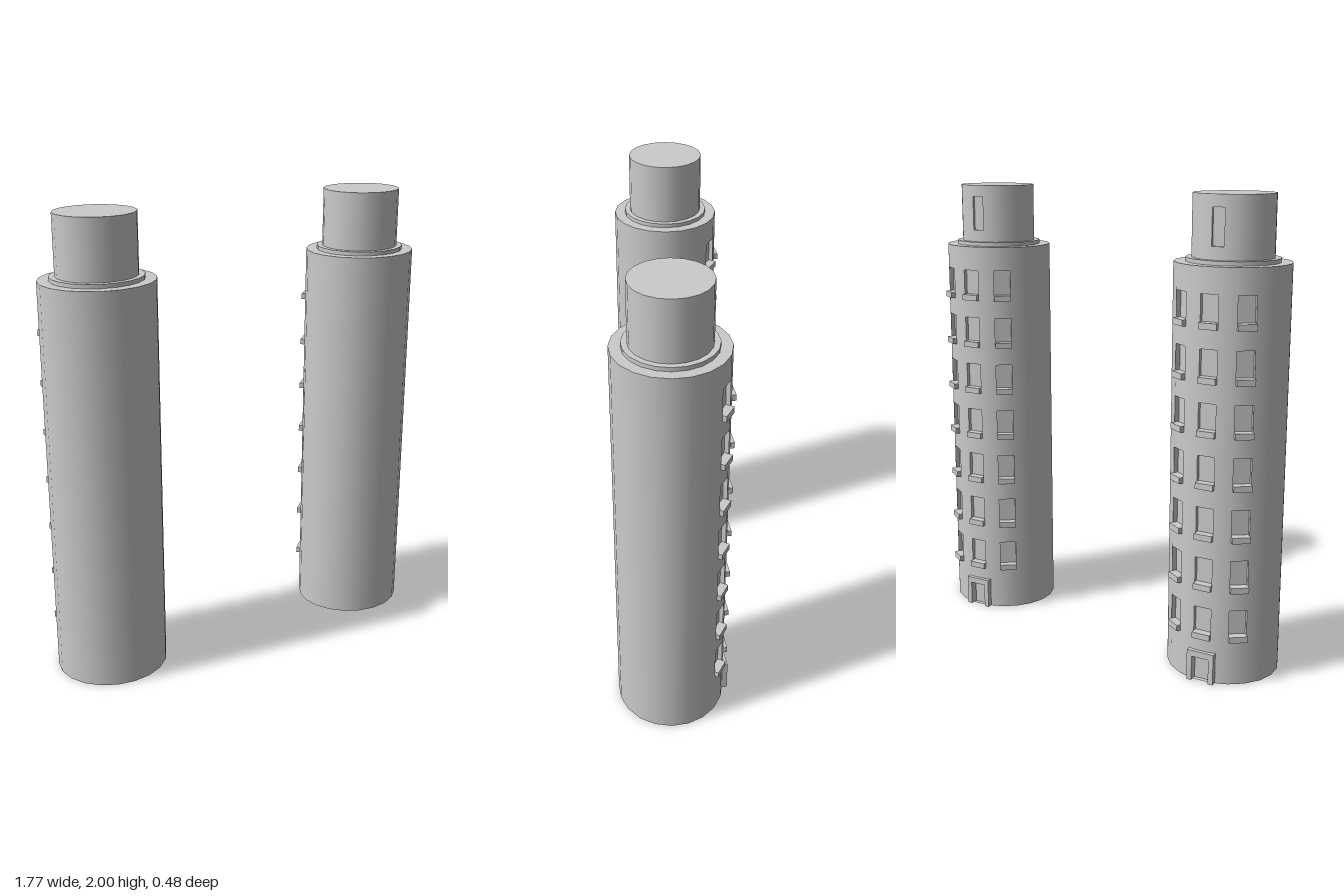
import * as THREE from 'three';

const SIDES = 20, STEP = (Math.PI * 2) / SIDES;
const material = new THREE.MeshStandardMaterial({ color: 0xcccccc });
const apothem = (r) => r * Math.cos(STEP / 2);

// Round wall of flat facets with smooth normals; openings: { facet: [[bottom, top], ...] }
function wallGeometry(r, y0, y1, openings, depth) {
  const pos = [], nor = [];
  const point = (k, y) => new THREE.Vector3(r * Math.sin(k * STEP), y, -r * Math.cos(k * STEP));
  const quad = (a, b, c, d, smooth) => {
    const flat = b.clone().sub(a).cross(d.clone().sub(a)).normalize();
    for (const p of [a, b, c, a, c, d]) {
      pos.push(p.x, p.y, p.z);
      const n = smooth ? new THREE.Vector3(p.x, 0, p.z).normalize() : flat;
      nor.push(n.x, n.y, n.z);
    }
  };
  for (let k = -SIDES / 2; k < SIDES / 2; k++) {
    const mid = (k + 0.5) * STEP;
    const inward = new THREE.Vector3(-Math.sin(mid), 0, Math.cos(mid)).multiplyScalar(depth);
    const L = (y) => point(k + 1, y), R = (y) => point(k, y);
    const Li = (y) => L(y).add(inward), Ri = (y) => R(y).add(inward);
    let y = y0;
    for (const [b, t] of openings[k] || []) {
      if (b > y) quad(L(y), R(y), R(b), L(b), true);
      quad(L(b), R(b), Ri(b), Li(b));       // floor of the recess
      quad(Li(t), Ri(t), R(t), L(t));       // ceiling
      quad(L(b), Li(b), Li(t), L(t));       // sides
      quad(Ri(b), R(b), R(t), Ri(t));
      quad(Li(b), Ri(b), Ri(t), Li(t));     // pane
      y = t;
    }
    quad(L(y), R(y), R(y1), L(y1), true);
  }
  const g = new THREE.BufferGeometry();
  g.setAttribute('position', new THREE.Float32BufferAttribute(pos, 3));
  g.setAttribute('normal', new THREE.Float32BufferAttribute(nor, 3));
  return g;
}

function add(parent, name, geometry) {
  const mesh = new THREE.Mesh(geometry, material);
  mesh.name = name;
  parent.add(mesh);
  return mesh;
}

function addCap(parent, name, r, y, up) {
  const cap = add(parent, name, new THREE.CircleGeometry(r, SIDES));
  cap.rotation.x = up ? -Math.PI / 2 : Math.PI / 2;
  cap.position.y = y;
}

// Box set against a facet of the body, offset sideways along it
function addBlock(parent, name, facet, w, h, d, y, side = 0) {
  const holder = new THREE.Group();
  holder.rotation.y = Math.PI - (facet + 0.5) * STEP;
  parent.add(holder);
  add(holder, name, new THREE.BoxGeometry(w, h, d))
    .position.set(side, y, apothem(0.243) + 0.018 - d / 2);
}

function createTower() {
  const tower = new THREE.Group();
  const columns = [-3, -1, 1], rows = [...Array(7).keys()].map((i) => 0.218 + i * 0.216);
  const openings = {};
  for (const k of columns) openings[k] = rows.map((y) => [y, y + 0.11]);
  openings[-1].unshift([0, 0.108]);

  // Body with window and door recesses
  add(tower, 'body', wallGeometry(0.243, 0, 1.73, openings, 0.02));
  addCap(tower, 'base', 0.243, 0, false);
  addCap(tower, 'roof', 0.243, 1.73, true);

  // Window sills
  for (const k of columns) for (const y of rows) addBlock(tower, 'windowSill', k, 0.078, 0.026, 0.04, y - 0.013);

  // Door frame
  for (const s of [-1, 1]) addBlock(tower, 'doorJamb', -1, 0.022, 0.11, 0.04, 0.055, s * 0.049);
  addBlock(tower, 'doorLintel', -1, 0.12, 0.027, 0.04, 0.1215);

  // Stepped ledge and top drum with a recessed doorway
  add(tower, 'ledge', wallGeometry(0.195, 1.73, 1.747, {}, 0));
  addCap(tower, 'ledgeTop', 0.195, 1.747, true);
  add(tower, 'drum', wallGeometry(0.17, 1.747, 2, { '-1': [[1.8, 1.95]] }, 0.012));
  addCap(tower, 'drumTop', 0.17, 2, true);
  return tower;
}

export function createModel() {
  const model = new THREE.Group();
  model.name = 'twinTowers';
  for (const [name, x] of [['rightTower', -0.645], ['leftTower', 0.642]]) {
    const tower = createTower();
    tower.name = name;
    tower.position.set(x, 0, 0.013);
    tower.scale.z = 0.95;
    model.add(tower);
  }
  return model;
}
